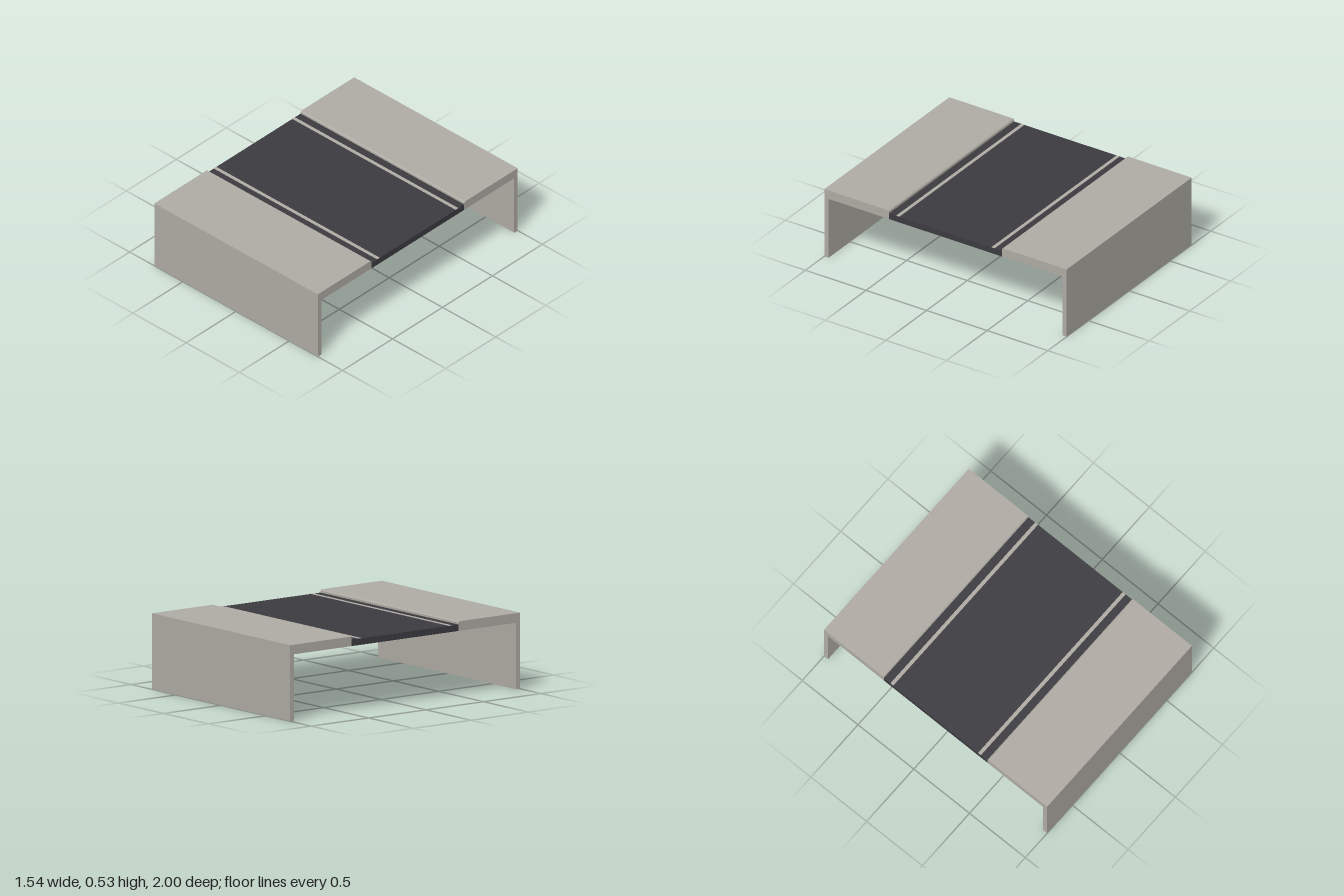
import * as THREE from 'three';

const WIDTH = 1.536, BOTTOM = 0.463, TOP = 0.53, ROAD_TOP = 0.508, CURB_Z = 0.465;

export function createModel() {
  const model = new THREE.Group();
  model.name = 'roadBridge';
  const concrete = new THREE.MeshStandardMaterial({ name: 'concrete', color: 0xaeaaa3 });
  const asphalt = new THREE.MeshStandardMaterial({ name: 'asphalt', color: 0x3b3a40 });

  // Pavement slab and side wall: one L-shaped section (z, y) with a bevelled curb edge
  const section = new THREE.Shape([
    [CURB_Z, BOTTOM], [0.965, BOTTOM], [0.965, 0], [1, 0],
    [1, TOP], [CURB_Z + 0.008, TOP], [CURB_Z, TOP - 0.008],
  ].map(([z, y]) => new THREE.Vector2(z, y)));
  const sideGeometry = new THREE.ExtrudeGeometry(section, { depth: WIDTH, bevelEnabled: false });
  sideGeometry.translate(0, 0, -WIDTH / 2).rotateY(-Math.PI / 2);

  // Painted edge line, a thin plate on the road
  const lineGeometry = new THREE.BoxGeometry(WIDTH, 0.002, 0.026);

  for (const [name, sign] of [['front', 1], ['back', -1]]) {
    const side = new THREE.Mesh(sideGeometry, concrete);
    side.name = name + 'PavementAndWall';
    side.rotation.y = sign > 0 ? 0 : Math.PI;

    const line = new THREE.Mesh(lineGeometry, concrete);
    line.name = name + 'RoadLine';
    line.position.set(0, ROAD_TOP + 0.001, sign * 0.393);
    model.add(side, line);
  }

  // Road deck between the pavements
  const road = new THREE.Mesh(
    new THREE.BoxGeometry(WIDTH, ROAD_TOP - BOTTOM, CURB_Z * 2), asphalt);
  road.name = 'roadDeck';
  road.position.y = (ROAD_TOP + BOTTOM) / 2;
  model.add(road);

  return model;
}
